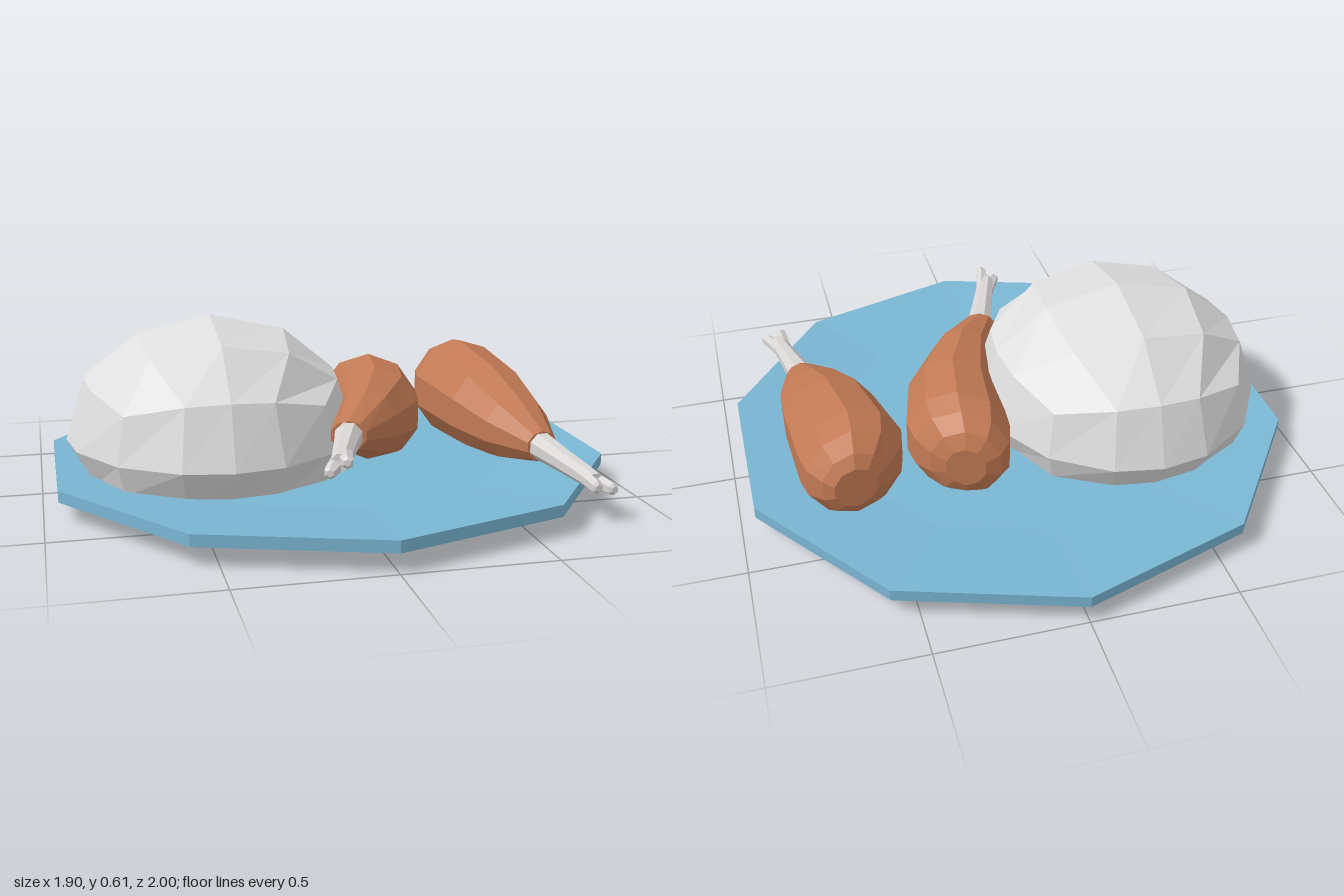
import * as THREE from 'three';

const flat = (name, color) => {
  const m = new THREE.MeshStandardMaterial({ color, flatShading: true });
  m.name = name;
  return m;
};

// Closed skin over rings [x, y, z, halfWidth, halfHeight]; lean swings the rings square to the axis in plan
function loft(rings, lean, sides) {
  const pos = [], index = [];
  const len = Math.hypot(1, lean);
  rings.forEach(([x, y, z, rx, ry]) => {
    for (let j = 0; j < sides; j++) {
      const a = (j + 0.5) / sides * Math.PI * 2;
      const w = Math.cos(a) * rx / len;
      pos.push(x + w, y + Math.sin(a) * ry, z - w * lean);
    }
  });
  const last = rings.length - 1;
  for (let s = 0; s < last; s++) {
    for (let j = 0; j < sides; j++) {
      const k = (j + 1) % sides;
      const a = s * sides + j, b = s * sides + k;
      index.push(a, b, a + sides, b, b + sides, a + sides);
    }
  }
  // End caps
  const c0 = pos.length / 3, c1 = c0 + 1;
  pos.push(...rings[0].slice(0, 3), ...rings[last].slice(0, 3));
  for (let j = 0; j < sides; j++) {
    const k = (j + 1) % sides;
    index.push(c0, k, j, c1, last * sides + j, last * sides + k);
  }
  const g = new THREE.BufferGeometry();
  g.setAttribute('position', new THREE.Float32BufferAttribute(pos, 3));
  g.setIndex(index);
  g.computeVertexNormals();
  return g;
}

function drumstick(name, lean, meatRings, boneEnd, roll, meat, bone) {
  const group = new THREE.Group();
  group.name = name;
  const add = (part, rings, sides, mat) => {
    const mesh = new THREE.Mesh(loft(rings, lean, sides), mat);
    mesh.name = part;
    group.add(mesh);
  };
  add('meat', meatRings, 10, meat);

  // Bone shaft tapering out of the meat
  const start = meatRings[meatRings.length - 1];
  const at = (t, r, dx = 0, dy = 0) => [
    start[0] + (boneEnd[0] - start[0]) * t + dx,
    start[1] + (boneEnd[1] - start[1]) * t + dy,
    start[2] + (boneEnd[2] - start[2]) * t - dx * lean, r, r];
  add('bone', [at(-0.03, 0.05), at(0.35, 0.04), at(0.7, 0.034), at(0.84, 0.03)], 8, bone);

  // Forked knuckle
  for (const s of [-1, 1]) {
    const dx = s * Math.cos(roll), dy = s * Math.sin(roll);
    add('knuckle', [
      at(0.62, 0.02, dx * 0.014, dy * 0.014),
      at(0.9, 0.024, dx * 0.023, dy * 0.023),
      at(0.98, 0.021, dx * 0.03, dy * 0.03),
      at(1, 0.012, dx * 0.031, dy * 0.031)], 6, bone);
  }
  return group;
}

export function createModel() {
  const blue = flat('plate blue', 0x7ab6d3);
  const white = flat('rice white', 0xdedede);
  const brown = flat('roast brown', 0xc27a54);
  const boneWhite = flat('bone white', 0xd8d6d5);
  const model = new THREE.Group();
  model.name = 'chickenAndRice';

  // Ten-sided plate with a shallow dish
  const profile = [[0, 0.07], [1, 0.07], [1, 0.11], [0.65, 0.088], [0, 0.088]];
  const plate = new THREE.Mesh(
    new THREE.LatheGeometry(profile.map(([x, y]) => new THREE.Vector2(x, y)), 10), blue);
  plate.name = 'plate';
  model.add(plate);

  // Rice mound: divided box rounded to a dome with a flattened underside
  const moundGeo = new THREE.BoxGeometry(2, 2, 2, 4, 2, 4);
  const p = moundGeo.attributes.position;
  const spread = (v) => Math.sign(v) * (Math.abs(v) > 0.9 ? 1.73 : Math.abs(v) > 0.1 ? 0.6 : 0);
  const v = new THREE.Vector3();
  for (let i = 0; i < p.count; i++) {
    v.set(spread(p.getX(i)), p.getY(i), spread(p.getZ(i))).normalize();
    const y = v.y > 0 ? v.y * 0.42 : -0.185 * Math.pow(-v.y, 0.56);
    p.setXYZ(i, v.x * 0.51, y, v.z * 0.54);
  }
  moundGeo.computeVertexNormals();
  const rice = new THREE.Mesh(moundGeo, white);
  rice.name = 'riceMound';
  rice.position.set(-0.4, 0.19, -0.025);
  model.add(rice);

  // Two drumsticks
  model.add(drumstick('innerDrumstick', -0.34, [
    [0.245, 0.2, -0.395, 0.07, 0.075],
    [0.24, 0.2, -0.37, 0.125, 0.13],
    [0.238, 0.2, -0.31, 0.17, 0.172],
    [0.232, 0.203, -0.23, 0.188, 0.195],
    [0.2, 0.22, -0.02, 0.168, 0.175],
    [0.11, 0.242, 0.2, 0.115, 0.125],
    [0, 0.255, 0.385, 0.062, 0.052],
  ], [-0.125, 0.262, 0.755], 0.6, brown, boneWhite));
  model.add(drumstick('outerDrumstick', 0.13, [
    [0.625, 0.255, -0.47, 0.075, 0.075],
    [0.622, 0.252, -0.44, 0.115, 0.12],
    [0.615, 0.245, -0.37, 0.168, 0.165],
    [0.612, 0.24, -0.28, 0.188, 0.185],
    [0.645, 0.215, 0, 0.168, 0.165],
    [0.675, 0.187, 0.18, 0.13, 0.12],
    [0.702, 0.166, 0.355, 0.058, 0.054],
  ], [0.77, 0.122, 0.73], -0.2, brown, boneWhite));

  return model;
}
